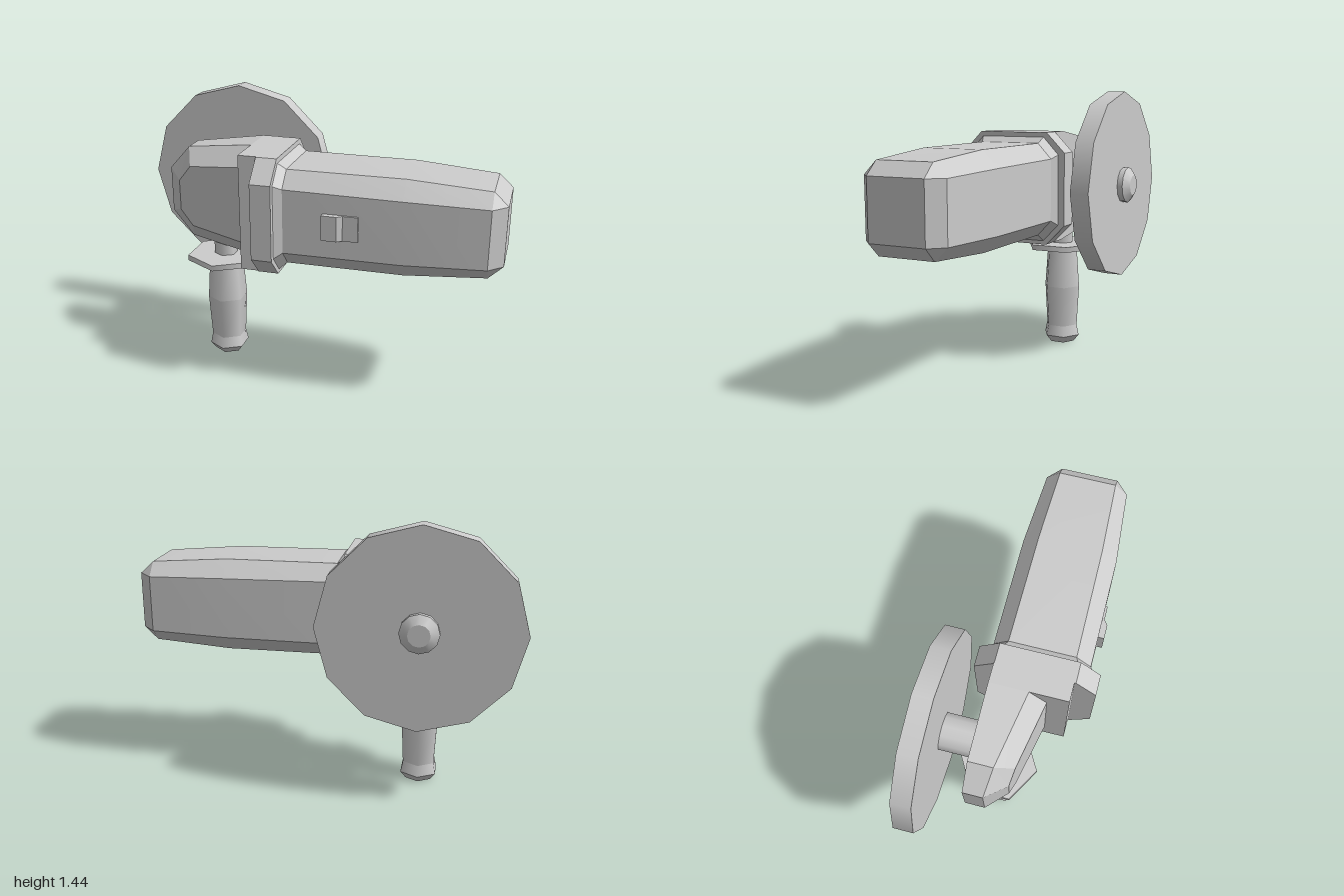
import * as THREE from 'three';
import { toCreasedNormals } from 'three/addons/utils/BufferGeometryUtils.js';

const material = new THREE.MeshStandardMaterial({ color: 0xcccccc });

function add(parent, name, geometry) {
  const mesh = new THREE.Mesh(geometry, material);
  mesh.name = name;
  parent.add(mesh);
  return mesh;
}

// Skin over equal-length rings of points, counter-clockwise seen from the last ring
function loft(rings) {
  const pos = [];
  const tri = (a, b, c) => {
    const area = b.clone().sub(a).cross(c.clone().sub(a)).length();
    if (area > 1e-8) pos.push(...a, ...b, ...c);
  };
  const n = rings[0].length, last = rings[rings.length - 1];
  for (let r = 0; r < rings.length - 1; r++) {
    const a = rings[r], b = rings[r + 1];
    for (let i = 0; i < n; i++) {
      const j = (i + 1) % n;
      tri(a[i], a[j], b[j]);
      tri(a[i], b[j], b[i]);
    }
  }
  for (let i = 1; i < n - 1; i++) {
    tri(rings[0][0], rings[0][i + 1], rings[0][i]);
    tri(last[0], last[i], last[i + 1]);
  }
  const g = new THREE.BufferGeometry();
  g.setAttribute('position', new THREE.Float32BufferAttribute(pos, 3));
  return toCreasedNormals(g, 0.4);
}

// Chamfered rectangle across the x axis; cy and cz are the corner cuts
function section(x, y0, y1, z0, z1, cy, cz) {
  return [
    [y1, z0 + cz], [y1, z1 - cz], [y1 - cy, z1], [y0 + cy, z1],
    [y0, z1 - cz], [y0, z0 + cz], [y0 + cy, z0], [y1 - cy, z0],
  ].map(([y, z]) => new THREE.Vector3(x, y, z));
}

// Stack of tapered cylinders along y, from [radius, y] pairs going up
function stack(parent, name, profile, sides) {
  const group = new THREE.Group();
  group.name = name;
  for (let i = 0; i < profile.length - 1; i++) {
    const [r0, y0] = profile[i], [r1, y1] = profile[i + 1];
    const open = i > 0 && i < profile.length - 2;
    const g = new THREE.CylinderGeometry(r1, r0, y1 - y0, sides, 1, open);
    add(group, name + 'Section', g.translate(0, (y0 + y1) / 2, 0));
  }
  parent.add(group);
  return group;
}

export function createModel() {
  const model = new THREE.Group();
  model.name = 'angleGrinder';

  // Motor housing, tapering to the rear end
  add(model, 'motorHousing', loft([
    section(-0.1, 0.655, 1.205, -0.145, 0.385, 0.09, 0.085),
    section(-0.09, 0.655, 1.205, -0.145, 0.385, 0.09, 0.085),
    section(-0.05, 0.69, 1.175, -0.122, 0.36, 0.08, 0.075),
    section(0.53, 0.69, 1.175, -0.122, 0.36, 0.085, 0.08),
    section(0.93, 0.717, 1.145, -0.097, 0.33, 0.067, 0.067),
    section(1.0, 0.785, 1.08, -0.03, 0.265, 0, 0),
  ]));

  // Octagonal collar and the block in front of it
  add(model, 'collar', loft([
    section(-0.195, 0.635, 1.23, -0.18, 0.415, 0.105, 0.103),
    section(-0.09, 0.635, 1.23, -0.18, 0.415, 0.105, 0.103),
  ]));
  add(model, 'gearBlock', new THREE.BoxGeometry(0.1, 0.595, 0.385).translate(-0.24, 0.9325, 0.1125));

  // Gear head: flat back, sloping front with a wide bevel
  const outer = [[-0.29, 1.23], [-0.66, 1.175], [-0.78, 1.045], [-0.78, 0.805], [-0.66, 0.68], [-0.29, 0.635]];
  const inner = [[-0.29, 1.135], [-0.62, 1.095], [-0.69, 1.01], [-0.69, 0.85], [-0.62, 0.77], [-0.29, 0.725]];
  const ring = (points, zAt) => points.map(([x, y]) => new THREE.Vector3(x, y, zAt(x)));
  add(model, 'gearHead', loft([
    ring(outer, () => -0.08),
    ring(outer, (x) => 0.02 + (x + 0.78) * 0.19),
    ring(inner, (x) => 0.12 + (x + 0.69) * 0.2),
  ]));

  // Spindle, disc and rounded nut, built along y then turned to face the back
  const wheel = new THREE.Group();
  wheel.name = 'wheel';
  wheel.position.set(-0.49, 0.932, 0);
  wheel.rotation.x = -Math.PI / 2;
  stack(wheel, 'spindle', [[0.096, 0.06], [0.096, 0.27]], 12);
  add(wheel, 'disc', new THREE.CylinderGeometry(0.51, 0.51, 0.1, 12).translate(0, 0.31, 0));
  stack(wheel, 'nut', [[0.096, 0.35], [0.098, 0.39], [0.055, 0.42]], 12);
  model.add(wheel);

  // Side handle with neck and hexagonal guard
  const handle = new THREE.Group();
  handle.name = 'sideHandle';
  handle.position.set(-0.49, 0, 0.006);
  stack(handle, 'grip', [[0.075, 0], [0.107, 0.04], [0.094, 0.1], [0.107, 0.33], [0.09, 0.56]], 6);
  add(handle, 'guard', new THREE.CylinderGeometry(0.207, 0.207, 0.03, 6).translate(0, 0.57, 0));
  add(handle, 'handleNeck', new THREE.CylinderGeometry(0.062, 0.062, 0.17, 6).translate(0, 0.665, 0));
  model.add(handle);

  // Sliding switch: stepped profile in x and z, extruded in y
  const profile = new THREE.Shape([
    [0.15, -0.34], [0.15, -0.39], [0.225, -0.39], [0.25, -0.37], [0.325, -0.37], [0.325, -0.34],
  ].map(([x, y]) => new THREE.Vector2(x, y)));
  const slider = new THREE.ExtrudeGeometry(profile, { depth: 0.125, bevelEnabled: false });
  add(model, 'powerSwitch', slider.rotateX(-Math.PI / 2).translate(0, 0.87, 0));

  return model;
}
